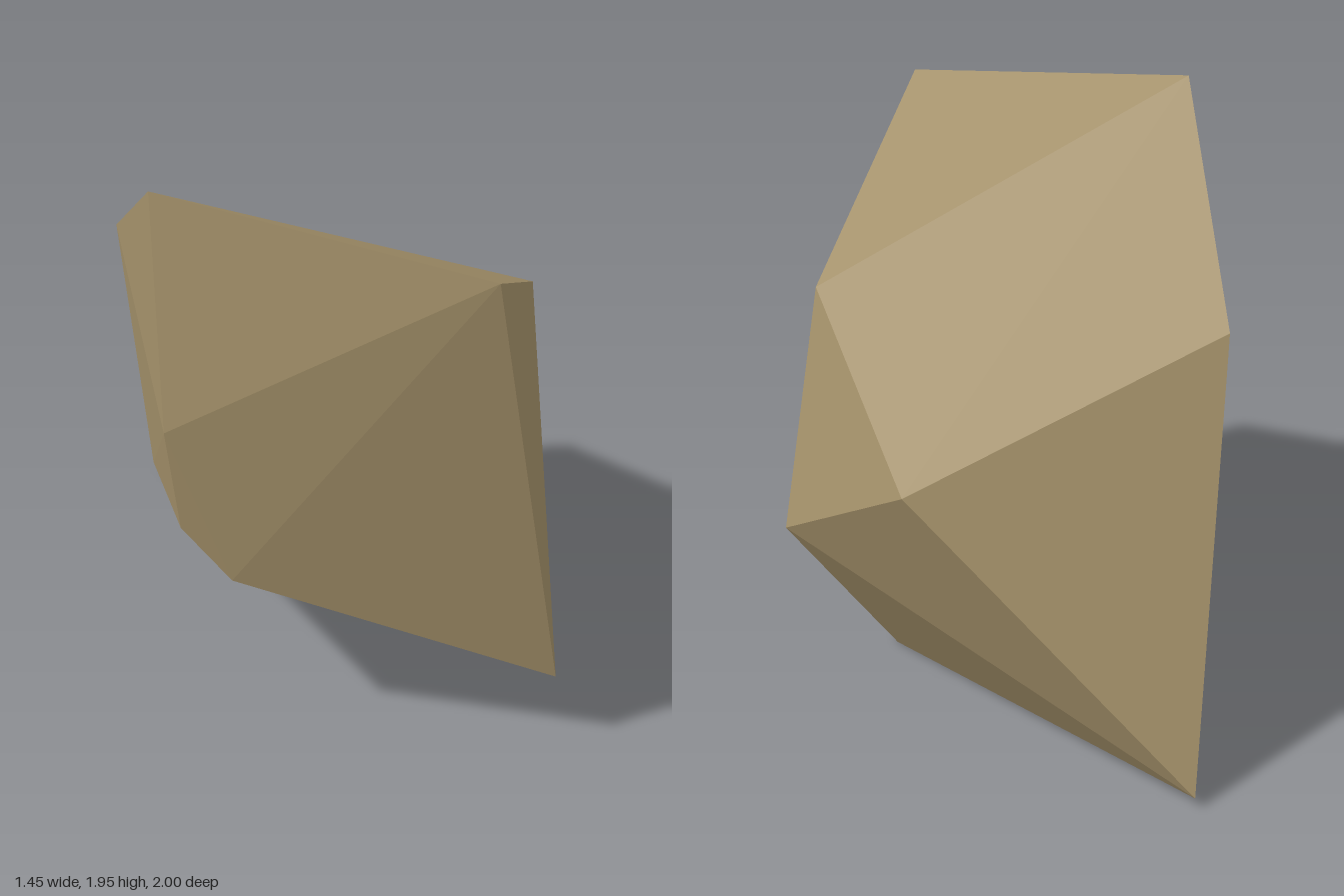
import * as THREE from 'three';
import { ConvexGeometry } from 'three/addons/geometries/ConvexGeometry.js';

export function createModel() {
  const group = new THREE.Group();
  group.name = 'boulder';

  const stone = new THREE.MeshStandardMaterial({ color: 0xa39069 });
  stone.name = 'sandy stone';
  stone.flatShading = true;

  // Corners of the faceted rock, from the peak down to the foot
  const corners = [
    [-0.68, 1.95, 0.50], [0.26, 1.82, 1.00],    // peak and front brow
    [-0.73, 1.40, -0.41], [0.60, 1.34, 0.13],   // shoulders
    [-0.68, 1.19, 0.62], [0.31, 0.96, -0.66],   // front cheek and back ridge
    [-0.62, 0.64, 0.34], [-0.49, 0.64, 0.66],   // undercut
    [0.72, 0.56, -0.14], [0.53, 0.29, 0.89],    // left side and front toe
    [-0.61, 0.04, -1.00], [0.35, 0.00, -0.01],  // ground contact
  ].map((p) => new THREE.Vector3(...p));

  const rock = new THREE.Mesh(new ConvexGeometry(corners), stone);
  rock.name = 'rock';
  group.add(rock);
  return group;
}
